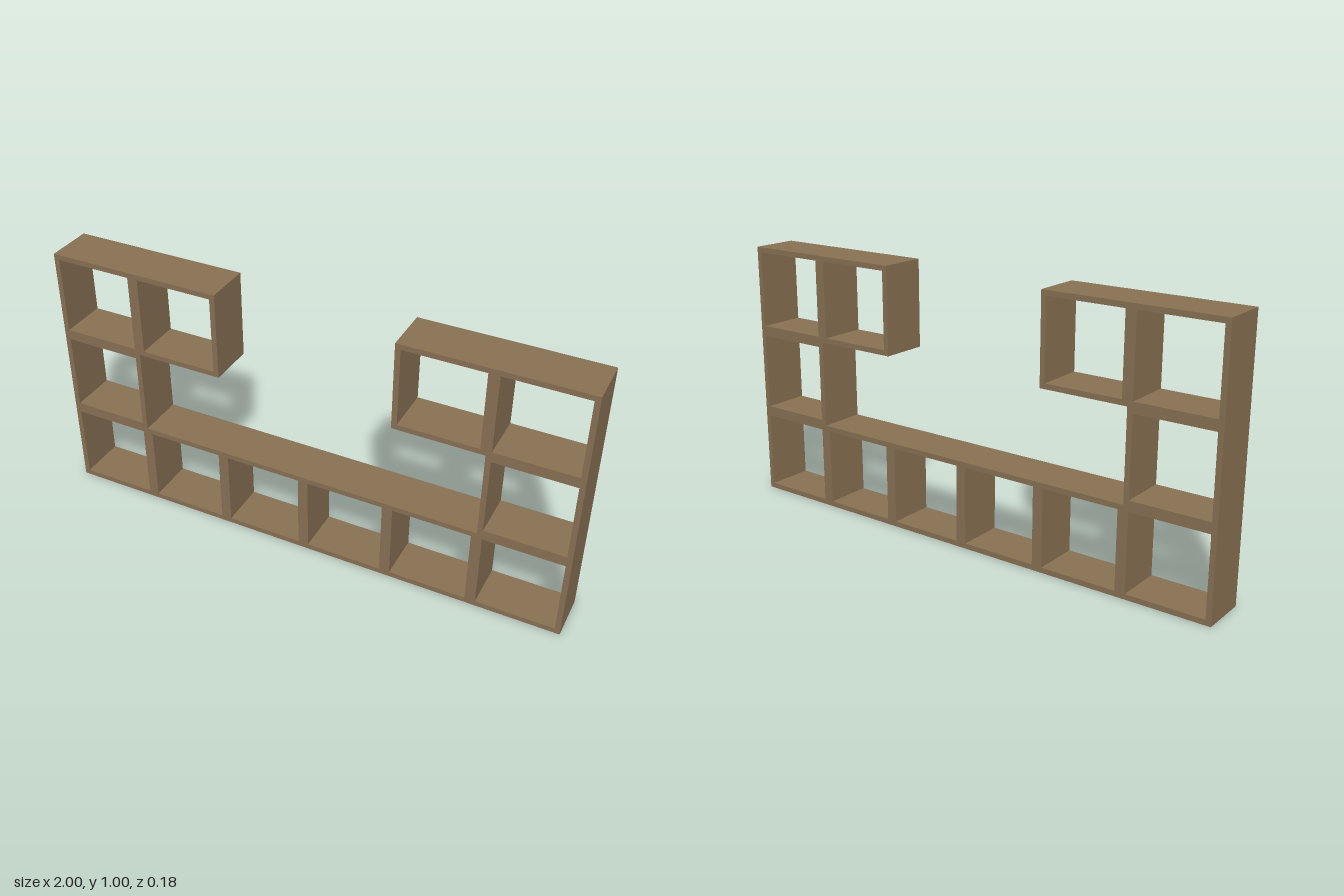
import * as THREE from 'three';

const CELL = 1 / 3;   // outer size of one cubby
const WALL = 0.02;    // board thickness of one cubby
const DEPTH = 0.18;

const wood = new THREE.MeshStandardMaterial({ color: 0x8b7355 });
wood.name = 'brown wood';

// Square opening of the cubby at a column and row, counted from the lower -x corner
function opening(col, row) {
  const x0 = -1 + col * CELL + WALL, x1 = -1 + (col + 1) * CELL - WALL;
  const y0 = row * CELL + WALL, y1 = (row + 1) * CELL - WALL;
  return new THREE.Path([[x0, y0], [x1, y0], [x1, y1], [x0, y1]].map(p => new THREE.Vector2(...p)));
}

// Shelf section: outline given in grid units, with one opening per cubby
function section(name, outline, cells) {
  const shape = new THREE.Shape(outline.map(([c, r]) => new THREE.Vector2(-1 + c * CELL, r * CELL)));
  shape.holes = cells.map(([c, r]) => opening(c, r));
  const geometry = new THREE.ExtrudeGeometry(shape, { depth: DEPTH, bevelEnabled: false });
  geometry.translate(0, 0, -DEPTH / 2);
  const mesh = new THREE.Mesh(geometry, wood);
  mesh.name = name;
  return mesh;
}

export function createModel() {
  const group = new THREE.Group();
  group.name = 'cubbyShelf';

  // Bottom row of six cubbies
  group.add(section('baseRow', [[0, 0], [6, 0], [6, 1], [0, 1]],
    [0, 1, 2, 3, 4, 5].map(c => [c, 0])));

  // Side towers, each with an overhanging cubby at the top
  const outline = [[0, 1], [1, 1], [1, 2], [2, 2], [2, 3], [0, 3]];
  const cells = [[0, 1], [0, 2], [1, 2]];
  group.add(section('rightTower', outline, cells));
  group.add(section('leftTower', outline.map(([c, r]) => [6 - c, r]), cells.map(([c, r]) => [5 - c, r])));

  return group;
}
